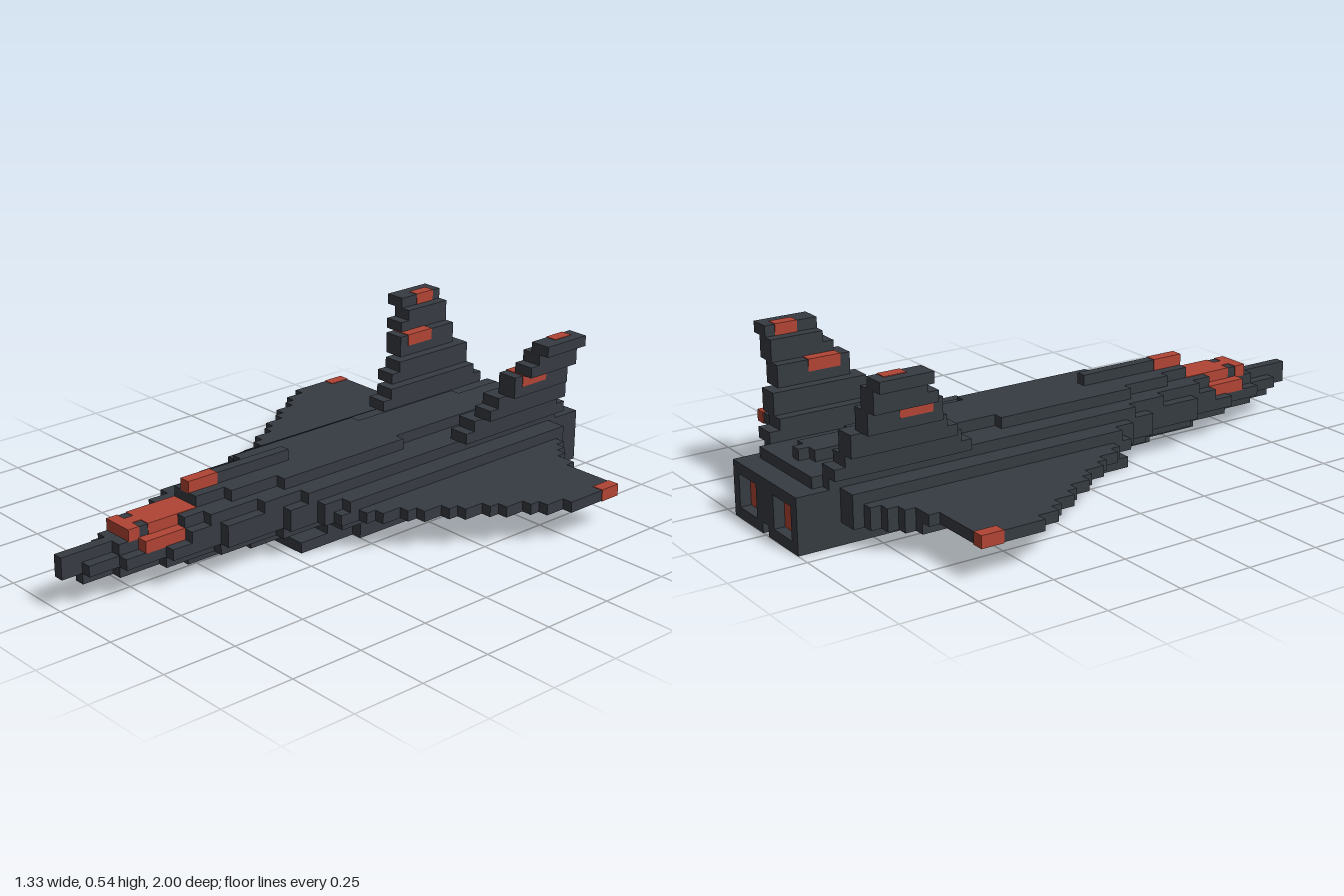
import * as THREE from 'three';
import { mergeGeometries } from 'three/addons/utils/BufferGeometryUtils.js';

const V = 2 / 56; // size of one block; k counts blocks from the tail, y from the ground

// Box from block coordinates; grow makes painted blocks sit a hair proud
function block(x0, x1, y0, y1, k0, k1, grow = 0) {
  const g = new THREE.BoxGeometry((x1 - x0) * V + grow, (y1 - y0) * V + grow, (k1 - k0) * V + grow);
  return g.translate((x0 + x1) / 2 * V, (y0 + y1) / 2 * V, (k0 + k1) / 2 * V - 1);
}

// One block-high layer, symmetric in x: rows of [k0, k1, halfWidth]
const layer = (y, rows) => rows.map(([k0, k1, h]) => block(-h, h, y, y + 1, k0, k1));

// Half width of the delta wing and nose at row k
function outline(k) {
  if (k < 9) return k + 3.5 + (k === 8 ? 1 : 0);
  if (k < 15) return 18.5;
  if (k < 33) return 17.5 - Math.floor((k - 15) / 1.5);
  for (const [end, h] of [[36, 5.5], [42, 4.5], [47, 3.5], [51, 2.5], [54, 1.5]]) if (k < end) return h;
  return 0.5;
}

// Join rows of equal width into long runs
function runs(k0, k1, width) {
  const out = [];
  for (let k = k0; k < k1; k++) {
    const h = width(k), last = out[out.length - 1];
    if (last && last[2] === h) last[1] = k + 1;
    else out.push([k, k + 1, h]);
  }
  return out;
}

export function createModel() {
  const hull = new THREE.MeshStandardMaterial({ color: 0x363b42 });
  hull.name = 'darkHull';
  const red = new THREE.MeshStandardMaterial({ color: 0xb04434 });
  red.name = 'redTrim';
  const model = new THREE.Group();
  const add = (name, mat, geos, parent = model) => {
    const mesh = new THREE.Mesh(mergeGeometries(geos), mat);
    mesh.name = name;
    parent.add(mesh);
  };

  // Delta wing, one block thick, running on into the nose
  add('wing', hull, layer(3, runs(4, 56, outline)));

  // Stepped thickening under the wing
  const under = (k) => {
    if (k < 9) return Math.min(11.5, k + 3.5);
    if (k < 31) return Math.max(6.5, outline(k) - 7);
    return k < 36 ? 4.5 : Math.max(0.5, outline(k) - 1);
  };
  add('wingUnderside', hull, layer(2, runs(4, 54, under)));

  // Upper fuselage in narrowing layers
  add('fuselage', hull, [
    ...layer(4, [[4, 31, 7.5], [31, 33, 6.5], [33, 36, 5.5], [36, 42, 4.5], [42, 45, 3.5], [45, 49, 2.5], [49, 51, 1.5], [51, 56, 0.5]]),
    ...layer(5, [[2, 3, 4.5], [3, 34, 5.5], [34, 38, 4.5], [38, 43, 3.5], [43, 45, 2.5], [45, 50, 1.5]]),
    ...layer(6, [[3, 4, 0.5], [4, 9, 1.5], [9, 21, 2.5], [21, 35, 3.5], [35, 40, 2.5], [40, 43, 1.5]]),
  ]);
  add('spine', hull, layer(7, [[32, 43, 0.5]]));
  add('keel', hull, layer(1, [[0, 31, 0.5], [32, 38, 2.5], [38, 44, 1.5]]));

  // Canopy and nose paint
  const p = 0.004;
  add('canopy', red, [
    block(-1.5, 1.5, 5, 6, 43, 48, p),
    block(-0.5, 0.5, 5, 6, 48, 49, p),
    block(-1.5, 1.5, 5, 6, 49, 50, p),
    block(-2.5, -1.5, 4, 5, 45, 49, p),
    block(1.5, 2.5, 4, 5, 45, 49, p),
  ]);
  add('spineLight', red, [block(-0.5, 0.5, 7, 8, 40, 43, p)]);
  add('noseSensor', red, [block(-0.5, 0.5, 2, 3, 48, 50, p)]);

  // Bridge between the two exhausts
  add('exhaustBridge', hull, [block(-0.5, 0.5, 2, 5, 0, 4)]);

  for (const side of [1, -1]) {
    const half = new THREE.Group();
    half.name = side > 0 ? 'leftSide' : 'rightSide';
    model.add(half);
    const b = (x0, x1, ...rest) => (side > 0 ? block(x0, x1, ...rest) : block(-x1, -x0, ...rest));

    // Engine nacelle with a forward intake lip
    add('nacelle', hull, [
      b(0.5, 5.5, 0, 1, 4, 28),
      b(0.5, 4.5, 0, 1, 28, 34),
      b(0.5, 5.5, 1, 2, 4, 28),
      b(0.5, 4.5, 1, 2, 28, 31),
    ], half);

    // Square exhaust frame around a recessed glowing plate
    add('exhaustFrame', hull, [
      b(0.5, 5.5, 0, 1, 0, 4), b(0.5, 5.5, 4, 5, 0, 4),
      b(0.5, 1.5, 1, 4, 0, 4), b(4.5, 5.5, 1, 4, 0, 4),
    ], half);
    add('exhaustGlow', red, [b(1.5, 4.5, 1, 4, 1, 4)], half);

    // Canted tail fin: [y0, y1, inner x, k0, k1]
    add('tailFin', hull, [
      [6, 7, 4.5, 3, 16], [7, 8, 4.5, 4, 15],
      [8, 9, 5.5, 4, 14], [9, 10, 5.5, 4, 13],
      [10, 12, 6.5, 5, 12], [12, 13, 7.5, 5, 11],
      [13, 14, 7.5, 5, 10], [14, 15, 8.5, 5, 10],
    ].map(([y0, y1, x, k0, k1]) => b(x, x + 2, y0, y1, k0, k1)), half);

    // Red markings on fin and wing tip
    add('finMarkings', red, [b(6.5, 8.5, 11, 12, 8, 11, p), b(8.5, 9.5, 14, 15, 6, 8, p)], half);
    add('wingTipLight', red, [b(17.5, 18.5, 3, 4, 9, 11, p)], half);
  }
  return model;
}
